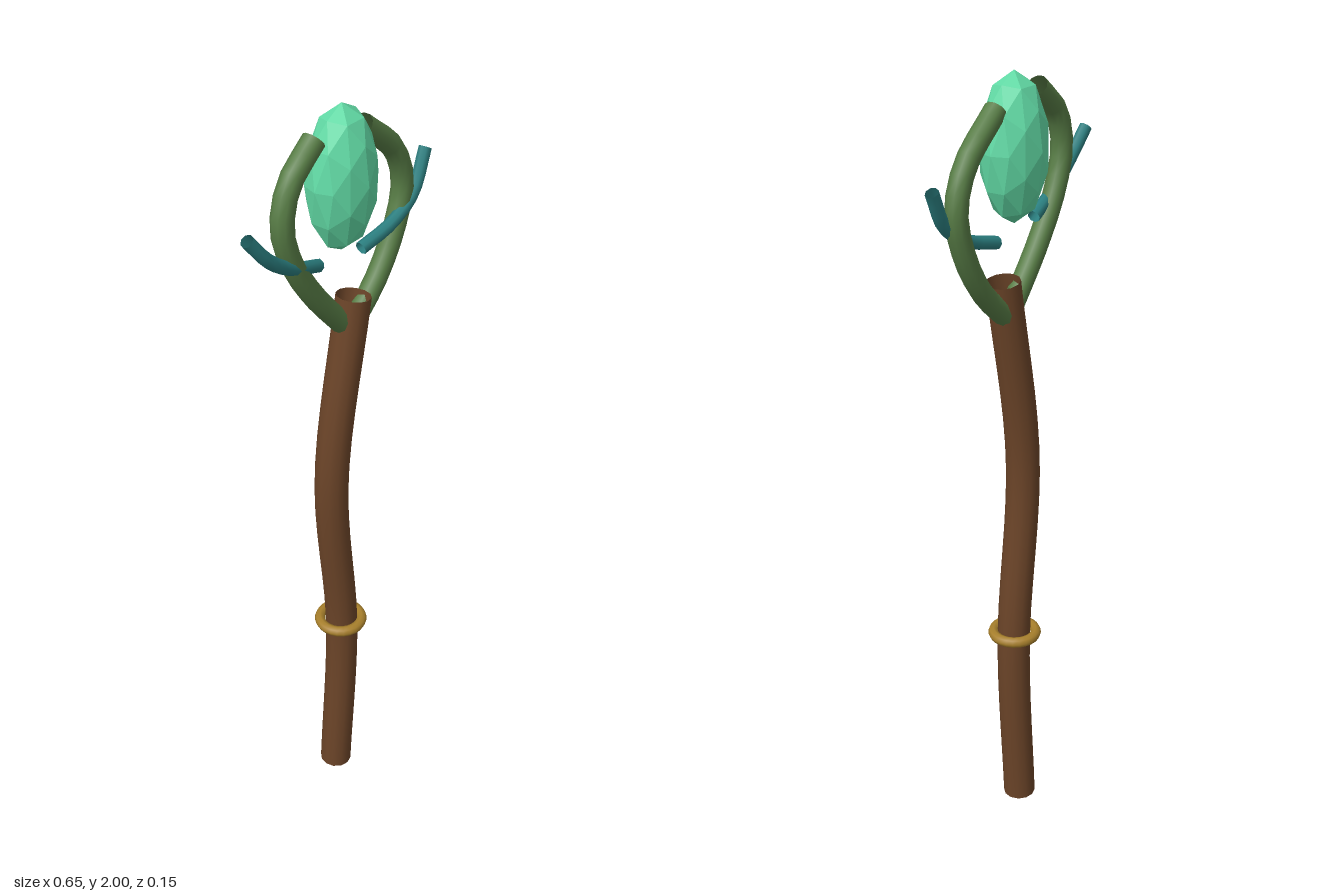
import * as THREE from 'three';

// Open tube swept through a few points
function tube(name, points, radius, segments, sides, color) {
  const curve = new THREE.CatmullRomCurve3(points.map((p) => new THREE.Vector3(...p)));
  const mesh = new THREE.Mesh(
    new THREE.TubeGeometry(curve, segments, radius, sides, false),
    new THREE.MeshStandardMaterial({ color, side: THREE.DoubleSide })
  );
  mesh.name = name;
  return mesh;
}

export function createModel() {
  const staff = new THREE.Group();
  staff.name = 'staff';
  const wood = 0x6b4428, green = 0x587d46, teal = 0x2b7f80;

  // Gently winding wooden shaft
  staff.add(tube('shaft', [
    [-0.016, 0, 0], [0.006, 0.5, 0.004], [-0.033, 1.02, 0.002], [0.045, 1.515, 0.007],
  ], 0.043, 20, 12, wood));

  // Two branches curling around the crystal
  staff.add(tube('leftBranch', [
    [0.04, 1.425, 0], [0.14, 1.516, 0], [0.207, 1.622, 0],
    [0.235, 1.728, 0], [0.2, 1.823, 0], [0.08, 1.925, 0],
  ], 0.027, 14, 10, green));
  staff.add(tube('rightBranch', [
    [0.04, 1.42, 0], [-0.093, 1.574, 0], [-0.167, 1.69, 0],
    [-0.195, 1.786, 0], [-0.17, 1.875, 0], [-0.085, 1.948, 0],
  ], 0.027, 14, 10, green));

  // Thin twigs growing outwards
  staff.add(tube('leftTwig', [
    [0.08, 1.62, 0], [0.18, 1.648, 0.012], [0.255, 1.696, 0.016], [0.311, 1.79, 0.008],
  ], 0.016, 10, 8, teal));
  staff.add(tube('rightTwig', [
    [-0.075, 1.643, 0], [-0.18, 1.685, 0.012], [-0.26, 1.74, 0.016], [-0.316, 1.808, 0.008],
  ], 0.016, 10, 8, teal));

  // Faceted crystal
  const crystal = new THREE.Mesh(
    new THREE.IcosahedronGeometry(1, 1),
    new THREE.MeshStandardMaterial({ color: 0x62dba6, flatShading: true })
  );
  crystal.name = 'crystal';
  crystal.scale.set(0.094, 0.176, 0.077);
  crystal.position.set(0.008, 1.824, 0);
  staff.add(crystal);

  // Metal band on the shaft
  const band = new THREE.Mesh(
    new THREE.TorusGeometry(0.056, 0.014, 8, 24),
    new THREE.MeshStandardMaterial({ color: 0xa8802c })
  );
  band.name = 'band';
  band.rotation.x = Math.PI / 2;
  band.position.set(0.003, 0.53, 0.003);
  staff.add(band);

  return staff;
}
